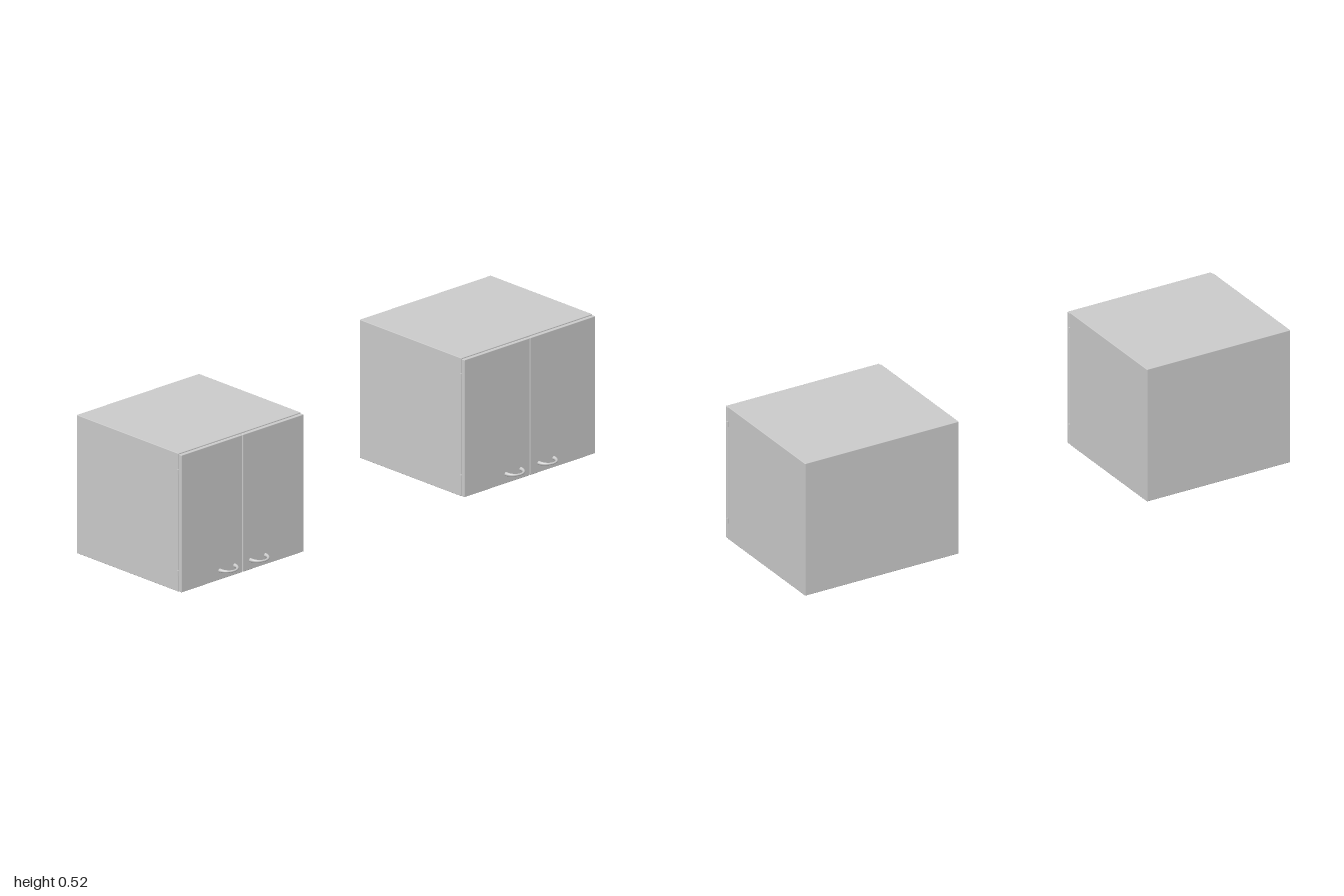
import * as THREE from 'three';
import { RoundedBoxGeometry } from 'three/addons/geometries/RoundedBoxGeometry.js';

const material = new THREE.MeshStandardMaterial({ color: 0xcccccc });

function addMesh(parent, name, geometry, x, y, z) {
  const mesh = new THREE.Mesh(geometry, material);
  mesh.name = name;
  mesh.position.set(x, y, z);
  parent.add(mesh);
  return mesh;
}

// Bow handle: a half-ellipse tube, thick at the feet and slim in the middle
function handleGeometry() {
  const points = [];
  for (let i = 0; i <= 12; i++) {
    const a = Math.PI * i / 12;
    points.push(new THREE.Vector3(-0.036 * Math.cos(a), 0, 0.038 * Math.sin(a)));
  }
  const path = new THREE.CatmullRomCurve3(points);
  const segments = 28, sides = 12;
  const geometry = new THREE.TubeGeometry(path, segments, 0.0075, sides);
  const position = geometry.attributes.position;
  const v = new THREE.Vector3();
  for (let i = 0; i <= segments; i++) {
    const centre = path.getPointAt(i / segments);
    const scale = 1 - 0.48 * Math.sin(Math.PI * i / segments);
    for (let j = 0; j <= sides; j++) {
      const k = i * (sides + 1) + j;
      v.fromBufferAttribute(position, k).sub(centre).multiplyScalar(scale).add(centre);
      position.setXYZ(k, v.x, v.y, v.z);
    }
  }
  geometry.computeVertexNormals();
  return geometry;
}

// Two-door wall cabinet between x0 and x1
function createCabinet(name, x0, x1, handleOffset) {
  const cabinet = new THREE.Group();
  cabinet.name = name;
  const width = x1 - x0, middle = (x0 + x1) / 2;
  addMesh(cabinet, 'cabinetBody', new RoundedBoxGeometry(width, 0.518, 0.519, 2, 0.002), middle, 0.261, -0.0275);

  const handle = handleGeometry();
  const hinge = new THREE.CylinderGeometry(0.004, 0.004, 0.02, 12);
  const doorWidth = width / 2 - 0.002;
  for (const side of [-1, 1]) {
    const sideName = side < 0 ? 'right' : 'left';
    addMesh(cabinet, sideName + 'Door', new RoundedBoxGeometry(doorWidth, 0.514, 0.015, 2, 0.002),
      middle + side * (doorWidth / 2 + 0.0015), 0.26, 0.2405);
    addMesh(cabinet, sideName + 'Handle', handle, middle + side * handleOffset, 0.038, 0.247);
    // Hinge barrels on the outer edge of each door
    for (const y of [0.073, 0.452]) {
      addMesh(cabinet, sideName + 'Hinge', hinge, middle + side * (width / 2 + 0.001), y, 0.2325);
    }
  }
  return cabinet;
}

export function createModel() {
  const model = new THREE.Group();
  model.name = 'wallCabinets';
  model.add(createCabinet('rightCabinet', -0.995, -0.407, 0.074));
  model.add(createCabinet('leftCabinet', 0.365, 0.995, 0.079));
  return model;
}
